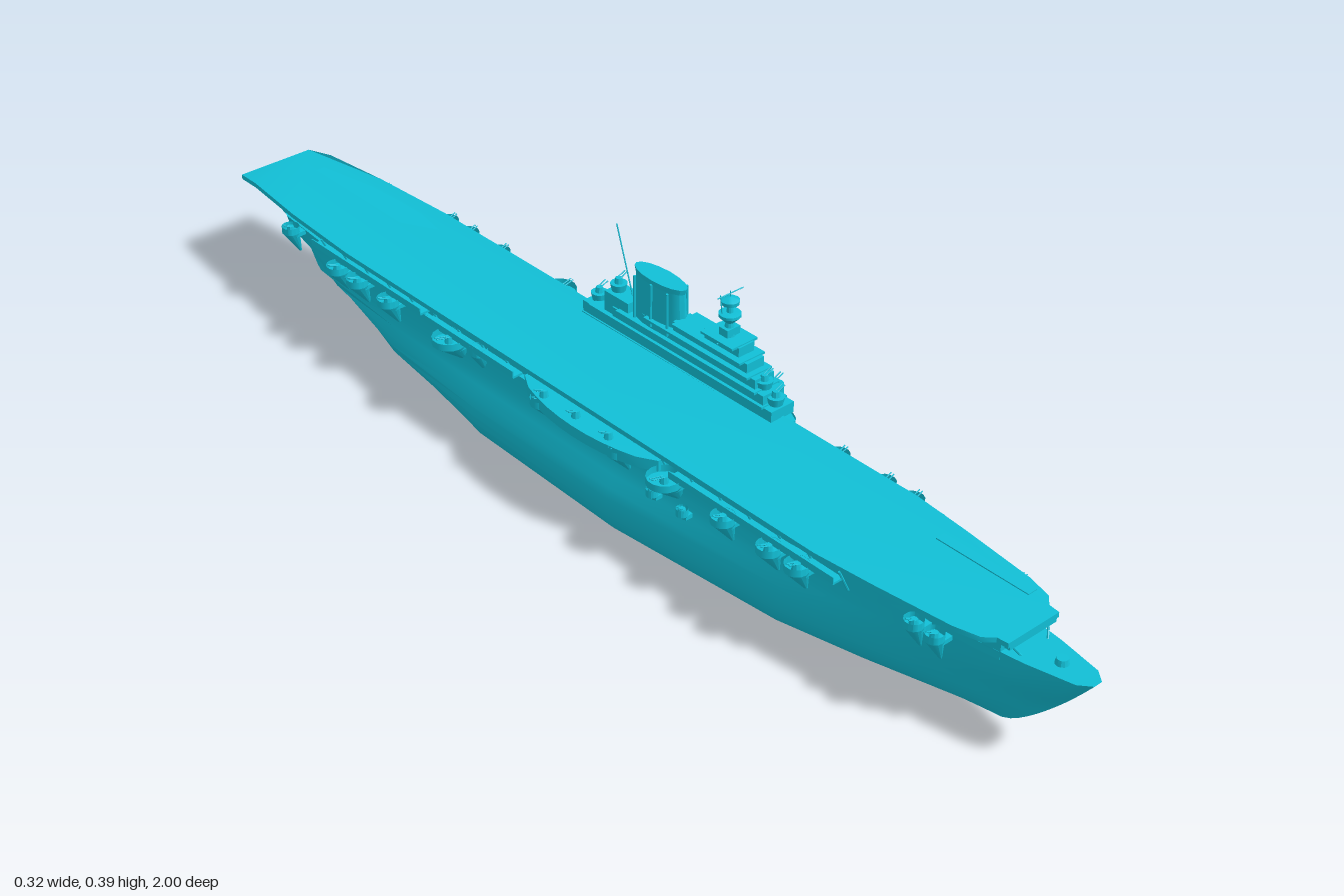
import * as THREE from 'three';
import { toCreasedNormals } from 'three/addons/utils/BufferGeometryUtils.js';

const CX = -0.01; // hull centreline
const mat = new THREE.MeshStandardMaterial({ color: 0x11bfd6, side: THREE.DoubleSide });

function add(parent, name, geo, x = 0, y = 0, z = 0) {
  const m = new THREE.Mesh(toCreasedNormals(geo, 0.6), mat);
  m.name = name;
  m.position.set(x, y, z);
  parent.add(m);
  return m;
}
const box = (p, n, w, h, d, x, y, z) => add(p, n, new THREE.BoxGeometry(w, h, d), x, y, z);
const cyl = (p, n, rt, rb, h, x, y, z, s = 12) => add(p, n, new THREE.CylinderGeometry(rt, rb, h, s), x, y, z);

// Horizontal plate from a plan shape, its top at y
function plateGeometry(pts, y, depth) {
  const g = new THREE.ExtrudeGeometry(new THREE.Shape(pts.map(p => new THREE.Vector2(...p))),
    { depth, bevelEnabled: false });
  return g.rotateX(Math.PI / 2).translate(0, y, 0);
}
// Symmetric plan outline from [z, half width]
const outline = rows => [
  ...rows.map(([z, w]) => [CX + w, z]),
  ...rows.slice().reverse().map(([z, w]) => [CX - w, z])];

// Bulging gallery plan on one side, between two z values
function galleryPlan(z0, z1, inner, outer) {
  const pts = [[inner, z0]];
  for (let i = 0; i <= 10; i++) {
    const t = i / 10;
    pts.push([inner + (outer - inner) * (0.45 + 0.55 * Math.pow(Math.sin(Math.PI * t), 0.6)), z0 + (z1 - z0) * t]);
  }
  return [...pts, [inner, z1]];
}

// Rod between two points
function rod(parent, name, a, b, r = 0.0015) {
  const A = new THREE.Vector3(...a), B = new THREE.Vector3(...b);
  const m = cyl(parent, name, r, r, A.distanceTo(B), 0, 0, 0, 6);
  m.position.copy(A).add(B).multiplyScalar(0.5);
  m.quaternion.setFromUnitVectors(new THREE.Vector3(0, 1, 0), B.sub(A).normalize());
}

// Lofted hull; station: z at top, z at keel, half widths at keel, bulge and top, bulge height
function hullGeometry() {
  const stations = [
    [1, 0.84, 0.001, 0.002, 0.008, 0.35],
    [0.98, 0.81, 0.004, 0.01, 0.024, 0.35],
    [0.9, 0.75, 0.012, 0.028, 0.04, 0.35],
    [0.7, 0.6, 0.045, 0.068, 0.066, 0.35],
    [0.5, 0.45, 0.078, 0.1, 0.086, 0.35],
    [0.1, 0.1, 0.11, 0.128, 0.098, 0.35],
    [-0.25, -0.25, 0.1, 0.125, 0.098, 0.35],
    [-0.5, -0.5, 0.05, 0.11, 0.095, 0.45],
    [-0.7, -0.7, 0.012, 0.092, 0.09, 0.7],
    [-0.85, -0.8, 0.004, 0.08, 0.08, 1],
    [-0.95, -0.87, 0.002, 0.045, 0.045, 1.2],
  ];
  const levels = 10, n = levels * 2 + 2, pos = [], idx = [];
  for (const [zt, zk, keel, bulge, top, peak] of stations) {
    const keelY = 0.016 * Math.pow(Math.abs(zk) / 0.87, 4);
    const deckY = 0.166 + 0.009 * Math.pow(Math.abs(zt), 4);
    const width = u => u < peak
      ? keel + (bulge - keel) * Math.pow(Math.sin(Math.PI / 2 * u / peak), 0.6 + 3 * (peak - 0.35))
      : THREE.MathUtils.lerp(bulge, top, THREE.MathUtils.smoothstep(u, peak, 0.85));
    for (let j = 0; j < n; j++) {
      const k = j <= levels ? levels - j : j - levels - 1, u = Math.pow(k / levels, 1.3);
      pos.push(CX + (j <= levels ? 1 : -1) * width(u), keelY + (deckY - keelY) * u, zk + (zt - zk) * Math.pow(u, 0.75));
    }
  }
  for (let i = 0; i < stations.length - 1; i++) for (let j = 0; j < n; j++) {
    const a = i * n + j, b = i * n + (j + 1) % n;
    idx.push(a, b, a + n, b, b + n, a + n);
  }
  const last = (stations.length - 1) * n; // stern cap
  for (let j = 0; j < levels; j++) {
    const a = last + j, b = last + n - 1 - j;
    idx.push(a, a + 1, b, a + 1, b - 1, b);
  }
  const g = new THREE.BufferGeometry();
  g.setAttribute('position', new THREE.Float32BufferAttribute(pos, 3));
  g.setIndex(idx);
  return g;
}

// Small twin gun on a pedestal, pointing outboard
function gun(parent, x, y, z, side, len) {
  cyl(parent, 'gunMount', 0.006, 0.008, 0.012, x, y + 0.006, z, 8);
  for (const dz of [-0.003, 0.003])
    rod(parent, 'gunBarrel', [x, y + 0.011, z + dz], [x + side * len, y + 0.018, z + dz], 0.0012);
}

// Round gun tub whose cone leans back into the hull side
function sponson(parent, x, z, side, r, top = 0.168, drop = 0.045) {
  const cone = new THREE.CylinderGeometry(r, r * 0.15, drop, 14);
  const p = cone.attributes.position;
  for (let i = 0; i < p.count; i++) if (p.getY(i) < 0) p.setX(i, p.getX(i) - side * r * 1.1);
  add(parent, 'sponsonCone', cone, x, top - drop / 2, z);
  add(parent, 'sponsonRim', new THREE.CylinderGeometry(r, r, 0.013, 14, 1, true), x, top + 0.006, z);
  box(parent, 'sponsonBridge', r * 1.4, 0.008, r * 1.7, x - side * r * 0.8, top - 0.004, z);
  gun(parent, x, top, z, side, r * 0.95);
}

function buildIsland() {
  const g = new THREE.Group();
  g.name = 'island';
  // Stepped superstructure, each tier shorter and set forward, with a platform on top
  for (let i = 0; i < 5; i++) {
    const y = 0.2 + i * 0.019, d = 0.46 - i * 0.095, z = 0.03 + i * 0.026;
    box(g, 'superstructureTier', 0.05 - i * 0.004, 0.02, d, 0.098, y + 0.01, z);
    box(g, 'bridgePlatform', 0.056, 0.004, d * 0.92, 0.097, y + 0.02, z);
  }
  box(g, 'aftHouse', 0.04, 0.045, 0.06, 0.098, 0.237, -0.12);
  for (const [z, y] of [[0.245, 0.22], [0.218, 0.238], [-0.185, 0.22], [-0.135, 0.26]]) {
    cyl(g, 'islandTub', 0.015, 0.012, 0.014, 0.097, y + 0.007, z);
    gun(g, 0.097, y + 0.012, z, 1, 0.016);
  }
  // Broad funnel with rounded ends and cap
  cyl(g, 'funnel', 0.019, 0.021, 0.09, 0.097, 0.285, -0.03, 16).scale.z = 3;
  cyl(g, 'funnelCap', 0.021, 0.02, 0.01, 0.097, 0.328, -0.03, 16).scale.z = 2.9;
  for (const x of [0.075, 0.119]) for (const z of [-0.07, -0.03, 0.01])
    rod(g, 'funnelPipe', [x, 0.245, z], [x, 0.325, z], 0.0025);
  // Mast with director and radar platforms
  const profile = [[0.014, 0.28], [0.007, 0.322], [0.019, 0.334], [0.019, 0.339], [0.006, 0.341],
    [0.005, 0.352], [0.015, 0.356], [0.016, 0.363], [0.001, 0.369]];
  add(g, 'mast', new THREE.LatheGeometry(profile.map(p => new THREE.Vector2(...p)), 12), 0.097, 0, 0.135);
  box(g, 'fireDirector', 0.028, 0.014, 0.02, 0.097, 0.307, 0.135);
  rod(g, 'mastTop', [0.097, 0.36, 0.135], [0.097, 0.379, 0.135], 0.001);
  for (const y of [0.375, 0.291]) rod(g, 'yard', [0.069, y, 0.135], [0.125, y, 0.135], 0.001);
  rod(g, 'sideAntenna', [0.084, 0.34, 0.13], [0.08, 0.375, 0.13], 0.001);
  rod(g, 'aftAntenna', [0.097, 0.265, -0.1], [0.097, 0.385, -0.14], 0.0012);
  // Outboard gun tubs beside the island
  for (let z = -0.1; z < 0.21; z += 0.075) {
    cyl(g, 'sideTub', 0.016, 0.012, 0.02, 0.138, 0.208, z);
    gun(g, 0.138, 0.215, z, 1, 0.016);
  }
  return g;
}

export function createModel() {
  const ship = new THREE.Group();
  ship.name = 'aircraftCarrier';
  add(ship, 'hull', hullGeometry());
  box(ship, 'rudder', 0.006, 0.05, 0.05, CX, 0.045, -0.845);

  // Hangar wall and flight deck
  add(ship, 'hangar', plateGeometry(outline([[-0.92, 0.055], [-0.8, 0.078], [-0.6, 0.09], [0.45, 0.087],
    [0.7, 0.066], [0.86, 0.045]]), 0.196, 0.04));
  const deck = plateGeometry(outline([[-1, 0.076], [-0.94, 0.085], [-0.8, 0.1], [-0.62, 0.11],
    [0.55, 0.11], [0.66, 0.1], [0.8, 0.084], [0.845, 0.072], [0.86, 0.056], [0.88, 0.054]]), 0.203, 0.009);
  const p = deck.attributes.position; // stern end dips
  for (let i = 0; i < p.count; i++) if (p.getZ(i) < -0.97) p.setY(i, p.getY(i) - 0.009);
  add(ship, 'flightDeck', deck);
  box(ship, 'catapultTrack', 0.018, 0.002, 0.18, 0.05, 0.2035, 0.735);
  box(ship, 'deckFrontBeam', 0.1, 0.008, 0.01, CX, 0.192, 0.875);

  // Bow fittings and posts under the deck ends
  cyl(ship, 'bowCapstan', 0.009, 0.011, 0.01, CX, 0.178, 0.935);
  for (const s of [-1, 1]) {
    rod(ship, 'bowPost', [CX + s * 0.028, 0.17, 0.885], [CX + s * 0.045, 0.197, 0.87], 0.002);
    for (const z of [-0.99, -0.96, -0.93])
      rod(ship, 'sternStrut', [CX + s * 0.03, 0.165, -0.92], [CX + s * 0.065, 0.19, z], 0.002);
  }

  // Gun sponsons, catwalks and brackets along both sides
  for (const s of [-1, 1]) {
    for (const z of [-0.63, -0.57, -0.48, 0.37, 0.47, 0.53]) sponson(ship, CX + s * 0.124, z, s, 0.02);
    for (const z of [-0.31, 0.235]) sponson(ship, CX + s * 0.122, z, s, 0.03);
    for (const z of [-0.8, -0.25]) sponson(ship, CX + s * 0.106, z, s, 0.016);
    for (const z of [0.735, 0.775]) sponson(ship, CX + s * 0.09, z, s, 0.016);
    for (const z of [0.2, 0.27]) sponson(ship, CX + s * 0.116, z, s, 0.01, 0.122, 0.016);
    for (const z of [-0.06, 0.02, 0.05, 0.13]) sponson(ship, CX + s * 0.125, z, s, 0.02, 0.17, 0.04);
    for (const [z0, z1, x] of [[-0.72, -0.4, 0.104], [-0.38, -0.14, 0.11], [0.24, 0.6, 0.108]]) {
      box(ship, 'catwalk', 0.02, 0.004, z1 - z0, CX + s * x, 0.178, (z0 + z1) / 2);
      box(ship, 'catwalkScreen', 0.002, 0.012, z1 - z0, CX + s * (x + 0.01), 0.184, (z0 + z1) / 2);
    }
    for (let z = -0.7; z < 0.61; z += 0.065)
      rod(ship, 'deckBracket', [CX + s * 0.085, 0.15, z], [CX + s * 0.107, 0.195, z], 0.002);
  }

  // Wide galleries amidships
  add(ship, 'rightGallery', plateGeometry(galleryPlan(-0.12, 0.21, -0.09, -0.16), 0.19, 0.02));
  add(ship, 'leftGallery', plateGeometry(galleryPlan(-0.2, 0.28, 0.07, 0.155), 0.2, 0.03));
  for (const z of [-0.05, 0.03, 0.11]) gun(ship, -0.138, 0.19, z, -1, 0.018);

  ship.add(buildIsland());
  return ship;
}
